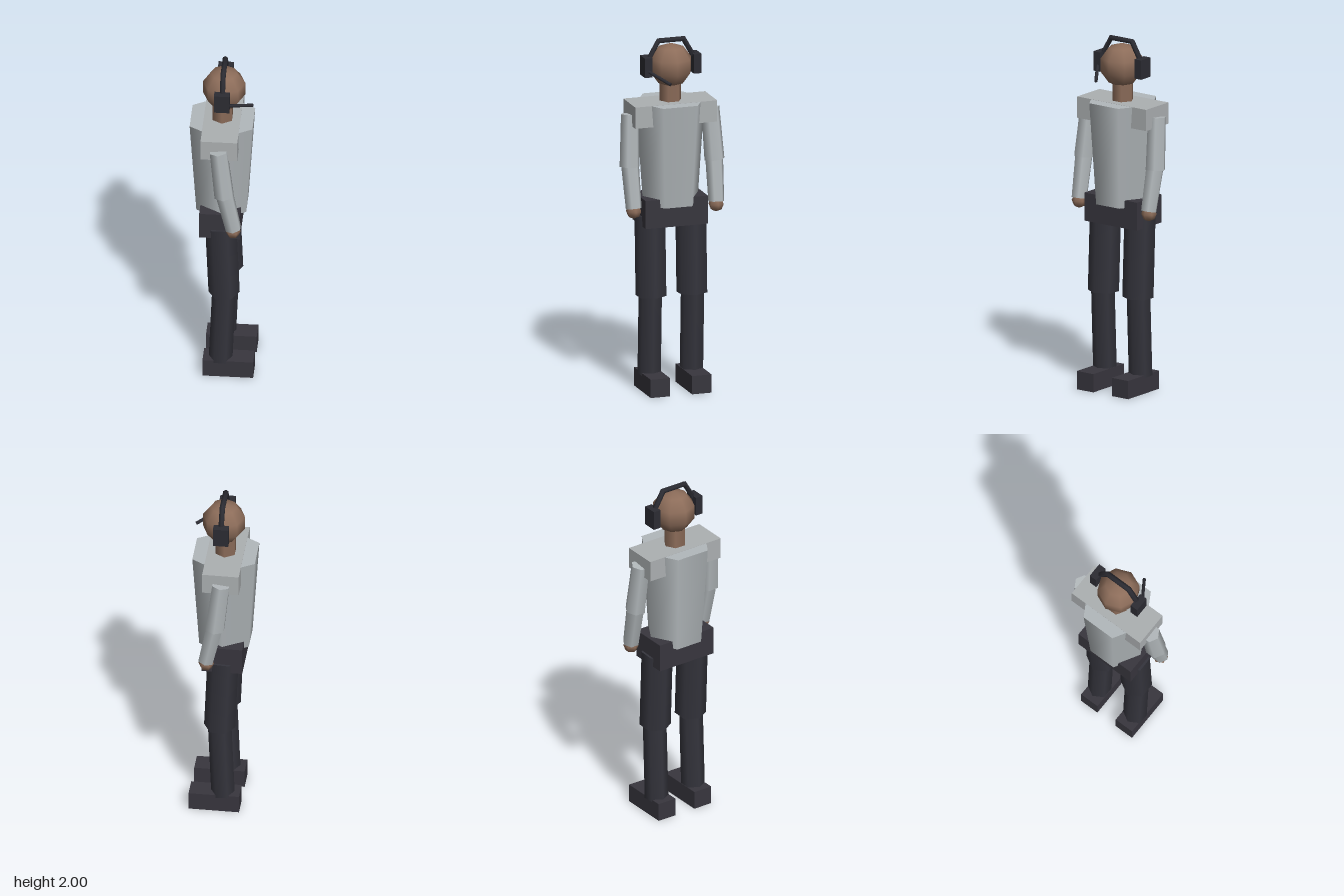
import * as THREE from 'three';

const paint = (name, color) => {
  const m = new THREE.MeshStandardMaterial({ color });
  m.name = name;
  return m;
};

export function createModel() {
  const skin = paint('skin', 0x8d6d5a);
  const shirt = paint('shirt grey', 0xb2b8bb);
  const pad = paint('shoulder grey', 0xacb0b2);
  const trousers = paint('trouser charcoal', 0x34343c);
  const boots = paint('belt and boot charcoal', 0x38363e);
  const black = paint('headset black', 0x2c2c33);

  const model = new THREE.Group();
  model.name = 'figure';

  const add = (name, geometry, material, x = 0, y = 0, z = 0) => {
    const mesh = new THREE.Mesh(geometry, material);
    mesh.name = name;
    mesh.position.set(x, y, z);
    model.add(mesh);
    return mesh;
  };

  // Box given by its minimum and maximum on each axis
  const box = (name, material, [x0, x1], [y0, y1], [z0, z1]) =>
    add(name, new THREE.BoxGeometry(x1 - x0, y1 - y0, z1 - z0), material,
      (x0 + x1) / 2, (y0 + y1) / 2, (z0 + z1) / 2);

  // Six-sided tapered limb running from a (top) to b (bottom)
  const limb = (name, material, a, b, rTop, rBottom, spin = 0) => {
    const top = new THREE.Vector3(...a), bottom = new THREE.Vector3(...b);
    const axis = top.clone().sub(bottom);
    const geometry = new THREE.CylinderGeometry(rTop, rBottom, axis.length(), 6);
    geometry.rotateY(spin);
    const mesh = add(name, geometry, material);
    mesh.position.copy(top).add(bottom).multiplyScalar(0.5);
    mesh.quaternion.setFromUnitVectors(new THREE.Vector3(0, 1, 0), axis.normalize());
    return mesh;
  };

  // Head and neck
  add('head', new THREE.SphereGeometry(0.123, 8, 5), skin, 0.002, 1.843, 0);
  limb('neck', skin, [-0.007, 1.76, 0], [-0.007, 1.6, 0], 0.062, 0.062);

  // Trunk
  limb('torso', shirt, [-0.008, 1.64, 0], [-0.008, 1.06, 0], 0.2, 0.159);
  box('shoulders', pad, [-0.11, 0.093], [1.52, 1.641], [-0.238, 0.238]);
  box('hips', boots, [-0.122, 0.103], [0.945, 1.105], [-0.181, 0.181]);

  // Arms and legs, mirrored across z
  for (const s of [1, -1]) {
    const side = s > 0 ? 'right' : 'left';
    limb(side + 'UpperArm', shirt, [-0.011, 1.578, s * 0.233], [0.021, 1.287, s * 0.247], 0.053, 0.058);
    limb(side + 'Forearm', shirt, [0.02, 1.31, s * 0.245], [0.072, 1.06, s * 0.24], 0.052, 0.046);
    add(side + 'Hand', new THREE.SphereGeometry(0.043, 6, 4), skin, 0.07, 1.045, s * 0.24);

    limb(side + 'Thigh', trousers, [-0.008, 1.0, s * 0.119], [0.011, 0.538, s * 0.119], 0.0865, 0.0865, Math.PI / 6);
    limb(side + 'Shin', trousers, [0.011, 0.56, s * 0.123], [-0.008, 0.09, s * 0.123], 0.0655, 0.0655, Math.PI / 6);
    box(side + 'Boot', boots, [-0.104, 0.176], [0, 0.104], s > 0 ? [0.064, 0.177] : [-0.177, -0.064]);

    box(side + 'EarCup', black, [-0.042, 0.043], [1.79, 1.9], s > 0 ? [0.12, 0.165] : [-0.165, -0.12]);
  }

  // Headband and microphone boom
  const band = add('headband', new THREE.TorusGeometry(0.145, 0.0165, 6, 3, Math.PI), black, 0.002, 1.859, 0);
  band.rotation.y = Math.PI / 2;
  limb('microphoneBoom', black, [0.02, 1.828, 0.15], [0.163, 1.773, 0.056], 0.01, 0.01);

  return model;
}
